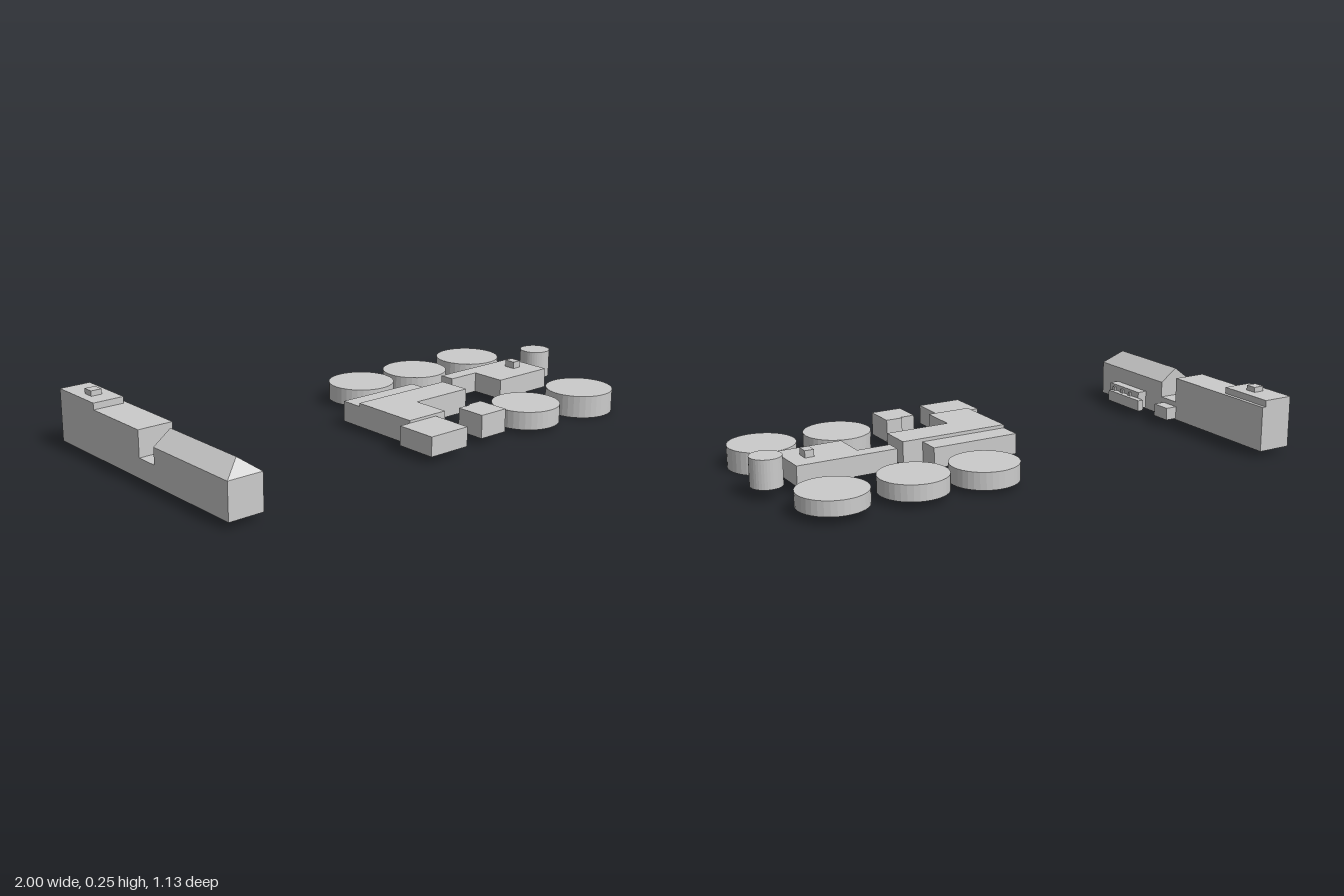
import * as THREE from 'three';

const material = new THREE.MeshStandardMaterial({ color: 0xcccccc, flatShading: true });

function addMesh(parent, name, geometry) {
  const mesh = new THREE.Mesh(geometry, material);
  mesh.name = name;
  parent.add(mesh);
  return mesh;
}

// Box given by its ranges in x, z and y
function block(parent, name, x0, x1, z0, z1, y0, y1) {
  const mesh = addMesh(parent, name, new THREE.BoxGeometry(x1 - x0, y1 - y0, z1 - z0));
  mesh.position.set((x0 + x1) / 2, (y0 + y1) / 2, (z0 + z1) / 2);
}

// Prism raised from a ground outline of [x, z] corners
function prism(parent, name, outline, y0, y1) {
  const shape = new THREE.Shape(outline.map(([x, z]) => new THREE.Vector2(x, -z)));
  const geometry = new THREE.ExtrudeGeometry(shape, { depth: y1 - y0, bevelEnabled: false });
  geometry.rotateX(-Math.PI / 2);
  addMesh(parent, name, geometry).position.y = y0;
}

function tank(parent, name, x, z, radius, y0, y1) {
  const mesh = addMesh(parent, name, new THREE.CylinderGeometry(radius, radius, y1 - y0, 36));
  mesh.position.set(x, (y0 + y1) / 2, z);
}

// Hall with a gable at the back and a hipped roof at the front
function hippedHall(parent, name, width, z0, z1, ridgeEnd, y0, eaves, ridge) {
  const geometry = new THREE.BoxGeometry(width, 1, z1 - z0, 2, 1, 1);
  const p = geometry.attributes.position;
  for (let i = 0; i < p.count; i++) {
    const top = p.getY(i) > 0;
    const middle = Math.abs(p.getX(i)) < 1e-6;
    const front = p.getZ(i) > 0;
    p.setX(i, p.getX(i) + width / 2);
    p.setY(i, top ? eaves : y0);
    p.setZ(i, front ? z1 : z0);
    if (top && middle && !front) p.setY(i, ridge);
  }
  // Roof faces: two slopes and the front hip over a flat front wall
  const body = geometry.toNonIndexed();
  const c = width / 2;
  const A = [0, eaves, z0], B = [width, eaves, z0], C = [width, eaves, z1], D = [0, eaves, z1];
  const R0 = [c, ridge, z0], R1 = [c, ridge, ridgeEnd];
  const triangles = [A, D, R1, A, R1, R0, C, B, R0, C, R0, R1, D, C, R1, B, A, R0];
  const roof = new THREE.BufferGeometry();
  roof.setAttribute('position', new THREE.Float32BufferAttribute(triangles.flat(), 3));
  roof.computeVertexNormals();
  body.dispose();
  geometry.dispose();
  block(parent, name + 'Walls', 0, width, z0, z1, y0, eaves);
  addMesh(parent, name + 'Roof', roof);
}

function rotatedSite(parent, name, x, z) {
  const group = new THREE.Group();
  group.name = name;
  group.position.set(x, 0, z);
  group.rotation.y = -0.049;
  parent.add(group);
  return group;
}

export function createModel() {
  const model = new THREE.Group();
  model.name = 'industrialSite';

  // Long building
  const long = rotatedSite(model, 'longBuilding', -0.95, -0.568);
  block(long, 'rearHall', 0, 0.137, 0, 0.525, 0.025, 0.2);
  block(long, 'raisedRoof', 0, 0.122, 0, 0.235, 0.2, 0.225);
  block(long, 'roofHouse', 0.036, 0.079, 0.115, 0.16, 0.225, 0.245);
  block(long, 'connector', 0, 0.137, 0.525, 0.617, 0.025, 0.1);
  block(long, 'sidePorch', 0.137, 0.185, 0.52, 0.602, 0.03, 0.08);
  hippedHall(long, 'frontHall', 0.138, 0.617, 1.037, 0.99, 0.025, 0.163, 0.215);

  // Stepped annex with small roof vents
  block(long, 'annexInner', 0.138, 0.178, 0.724, 0.925, 0.03, 0.1);
  block(long, 'annexOuter', 0.178, 0.203, 0.69, 0.902, 0.03, 0.075);
  for (let i = 0; i < 3; i++) {
    const z = 0.77 + i * 0.055;
    block(long, 'annexVent', 0.175, 0.187, z, z + 0.016, 0.07, 0.09);
  }

  // Plant buildings
  const plant = rotatedSite(model, 'plantBuildings', -0.035, -0.043);
  block(plant, 'rearWing', 0, 0.355, 0, 0.09, 0.02, 0.1);
  prism(plant, 'mainHall', [[0, 0.09], [0.437, 0.09], [0.437, 0.22], [0.177, 0.22],
    [0.177, 0.37], [0, 0.37]], 0.02, 0.113);
  block(plant, 'westHouse', -0.047, 0.13, 0.37, 0.535, 0.028, 0.103);
  prism(plant, 'smallHouse', [[0.238, 0.382], [0.295, 0.382], [0.295, 0.372], [0.362, 0.372],
    [0.362, 0.502], [0.238, 0.502]], 0.025, 0.115);
  prism(plant, 'eastHall', [[0.494, 0.025], [0.889, 0.025], [0.889, 0.225], [0.626, 0.225],
    [0.626, 0.085], [0.494, 0.085]], 0.035, 0.113);
  block(plant, 'eastRoofHouse', 0.79, 0.826, 0.095, 0.142, 0.113, 0.14);

  // Round tanks: x, z, base height
  const tanks = [[0.232, -0.228, 0.02], [0.513, -0.202, 0.025], [0.823, -0.188, 0.03],
    [0.491, 0.416, 0.017], [0.8, 0.432, 0]];
  for (const [x, z, base] of tanks) tank(model, 'roundTank', x, z, 0.131, base, 0.087);
  tank(model, 'tallTank', 0.938, 0.09, 0.06, 0.042, 0.152);

  return model;
}
